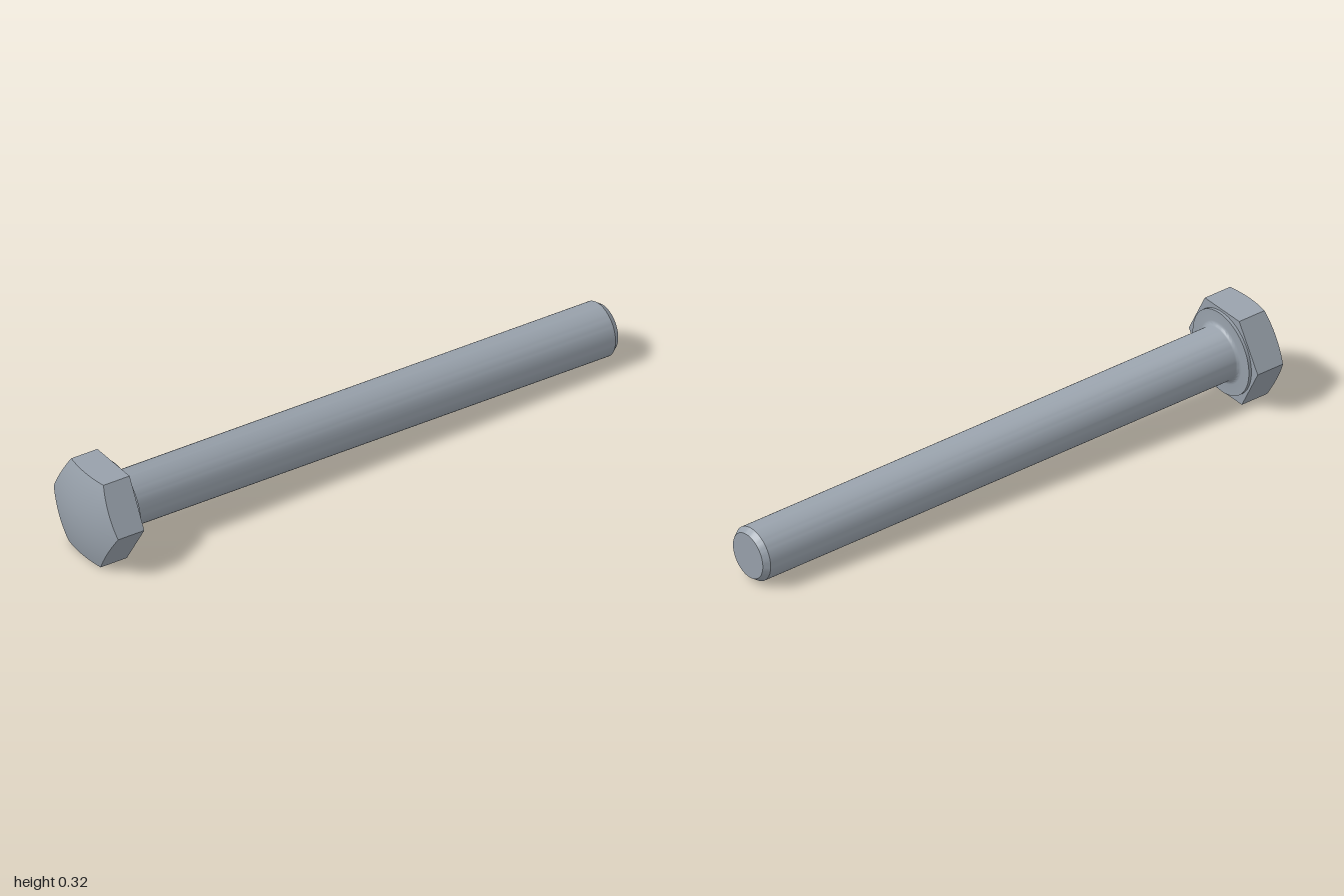
import * as THREE from 'three';
import { toCreasedNormals } from 'three/addons/utils/BufferGeometryUtils.js';

const steel = new THREE.MeshStandardMaterial({ color: 0x98a1ab });
steel.name = 'steel grey';

const HEX_R = 0.18;        // centre to corner
const CROWN = 0.135;       // head height at its centre
const DOME = 0.035;        // drop of the dome from centre to corner
const SHAFT_R = 0.0925;

// Distance from the axis to the hexagon's outline at angle a (corners at 0, 60, ...)
function hexRadius(a) {
  const s = Math.PI / 3;
  const local = a - Math.floor(a / s) * s - s / 2;
  return HEX_R * Math.cos(s / 2) / Math.cos(local);
}
const domeY = (r) => -CROWN + DOME * (r / HEX_R) ** 2;

// Grid of points f(i, j); rows run around the axis
function gridGeometry(rows, cols, f) {
  const pos = [], idx = [];
  for (let i = 0; i <= rows; i++) {
    for (let j = 0; j <= cols; j++) pos.push(...f(i / rows, j / cols));
  }
  for (let i = 0; i < rows; i++) {
    for (let j = 0; j < cols; j++) {
      const a = i * (cols + 1) + j, b = a + cols + 1;
      idx.push(a, a + 1, b, b, a + 1, b + 1);
    }
  }
  const g = new THREE.BufferGeometry();
  g.setAttribute('position', new THREE.Float32BufferAttribute(pos, 3));
  g.setIndex(idx);
  return g;
}

export function createModel() {
  const model = new THREE.Group();
  model.name = 'hexBolt';
  const bolt = new THREE.Group();
  bolt.name = 'boltAxis';
  model.add(bolt);

  const add = (name, geometry) => {
    const mesh = new THREE.Mesh(geometry, steel);
    mesh.name = name;
    bolt.add(mesh);
  };

  // Bolt axis runs from the underside of the head to the tip
  const base = new THREE.Vector3(-0.856, 0.157, -0.14);
  const tip = new THREE.Vector3(0.983, 0.0945, 0.251);
  const length = base.distanceTo(tip);

  // Domed crown, trimmed to the hexagon
  const crown = gridGeometry(12, 72, (u, v) => {
    const a = v * Math.PI * 2, r = Math.max(u, 0.0001) * hexRadius(a);
    return [r * Math.cos(a), domeY(r), -r * Math.sin(a)];
  });
  crown.computeVertexNormals();
  // Orient the crown outward (away from the shaft)
  if (crown.attributes.normal.getY(6 * 73 + 5) > 0) {
    crown.setIndex(Array.from(crown.index.array).reverse());
    crown.computeVertexNormals();
  }
  add('headCrown', crown);

  // Six flats, each with an arched upper edge
  for (let k = 0; k < 6; k++) {
    const a0 = k * Math.PI / 3;
    const flat = gridGeometry(1, 12, (u, v) => {
      const a = a0 + v * Math.PI / 3, r = hexRadius(a === a0 + Math.PI / 3 ? a0 : a);
      return [r * Math.cos(a), u === 0 ? domeY(r) : 0, -r * Math.sin(a)];
    });
    flat.computeVertexNormals();
    add('headFlat' + (k + 1), flat);
  }

  // Underside of the head
  const under = new THREE.CircleGeometry(HEX_R, 6);
  under.rotateX(-Math.PI / 2);
  add('headUnderside', under);

  // Washer face, fillet, shaft and chamfered tip in one turned profile
  const fillet = 0.016, washer = 0.01;
  const profile = [[0.147, 0], [0.147, washer]];
  for (let i = 0; i <= 5; i++) {
    const t = i / 5 * Math.PI / 2;
    profile.push([
      SHAFT_R + fillet * (1 - Math.sin(t)),
      washer + fillet * (1 - Math.cos(t)),
    ]);
  }
  profile.push([SHAFT_R, length - 0.02], [0.078, length], [0, length]);
  const turned = new THREE.LatheGeometry(profile.map((p) => new THREE.Vector2(...p)), 64);
  add('shaft', toCreasedNormals(turned, 0.5));

  // Aim the bolt along its axis, keeping two flats level
  const axis = tip.clone().sub(base).normalize();
  const up = new THREE.Vector3(0, 1, 0).addScaledVector(axis, -axis.y).normalize();
  const side = new THREE.Vector3().crossVectors(axis, up);
  bolt.quaternion.setFromRotationMatrix(new THREE.Matrix4().makeBasis(side, axis, up));
  bolt.position.copy(base);
  return model;
}
